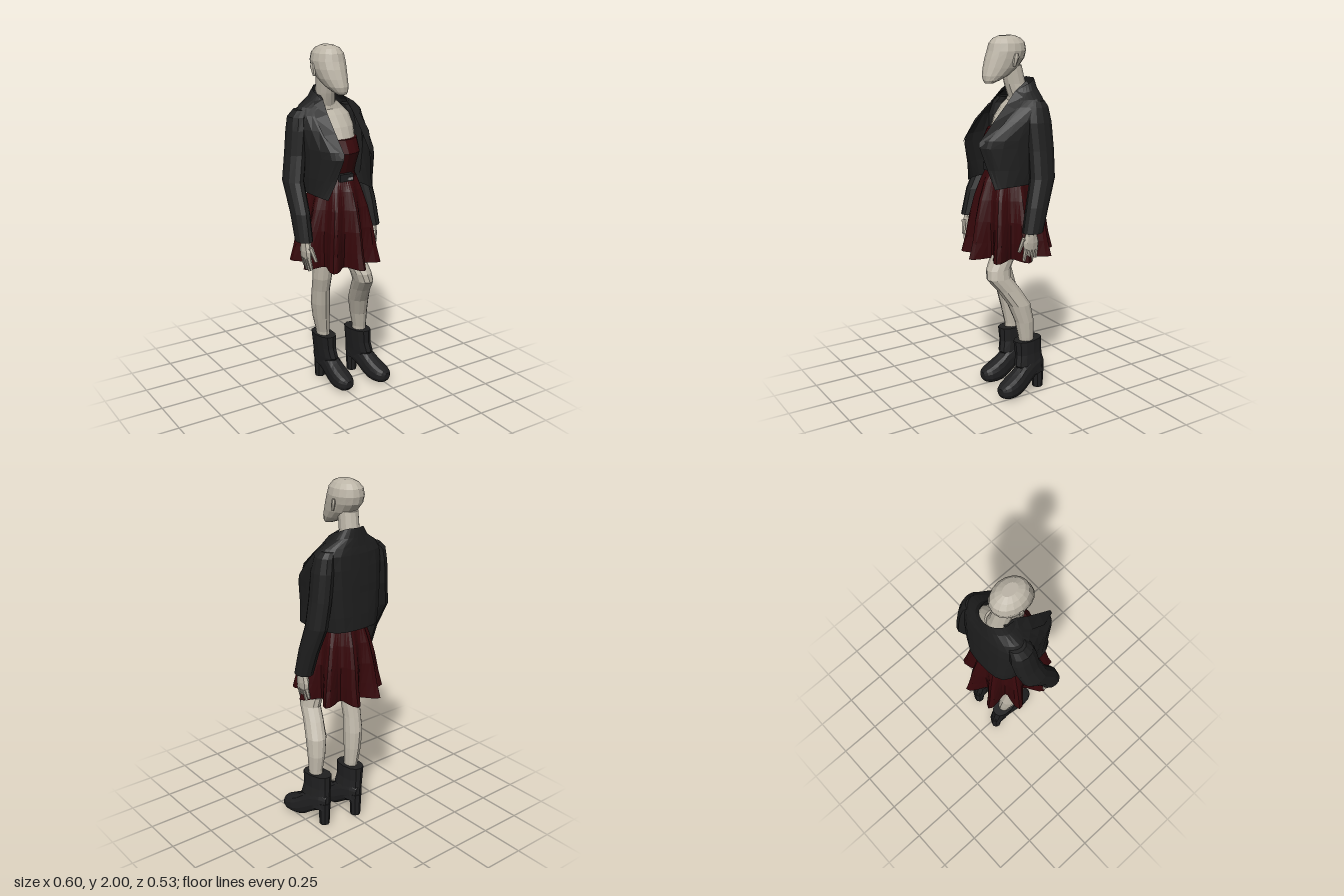
import * as THREE from 'three';

const mat = (name, color, double) => {
  const m = new THREE.MeshStandardMaterial({ color });
  m.name = name;
  if (double) m.side = THREE.DoubleSide;
  return m;
};

export function createModel() {
  const model = new THREE.Group();
  model.name = 'figure';
  const skin = mat('warm grey skin', 0xbcb5a7);
  const red = mat('dark red cloth', 0x36070a, true);
  const black = mat('black jacket cloth', 0x1f1f1f, true);
  const leather = mat('black boot leather', 0x202021);
  const metal = mat('buckle metal', 0x8f8f8f);

  // Flat-shaded mesh with a name
  const add = (name, geo, material, parent = model) => {
    const g = geo.index ? geo.toNonIndexed() : geo;
    g.computeVertexNormals();
    const mesh = new THREE.Mesh(g, material);
    mesh.name = name;
    parent.add(mesh);
    return mesh;
  };

  // Skin a grid of point rows; optional closing around and end caps
  const gridGeo = (rows, closed, caps) => {
    const n = rows[0].length, pos = [], idx = [];
    rows.forEach(r => r.forEach(p => pos.push(...p)));
    for (let i = 0; i < rows.length - 1; i++)
      for (let j = 0; j < (closed ? n : n - 1); j++) {
        const k = (j + 1) % n, a = i * n + j, b = i * n + k;
        idx.push(a, b, b + n, a, b + n, a + n);
      }
    if (caps) [0, rows.length - 1].forEach(i => {
      const c = pos.length / 3, sum = [0, 0, 0];
      rows[i].forEach(p => p.forEach((v, q) => { sum[q] += v / n; }));
      pos.push(...sum);
      for (let j = 0; j < n; j++) {
        const a = i * n + j, b = i * n + (j + 1) % n;
        if (i === 0) idx.push(c, b, a); else idx.push(c, a, b);
      }
    });
    const g = new THREE.BufferGeometry();
    g.setAttribute('position', new THREE.Float32BufferAttribute(pos, 3));
    g.setIndex(idx);
    return g;
  };

  // Loft of ellipses, each [y, centreX, centreZ, radiusX, radiusZ], from low to high
  const loft = (sections, n = 12, power = 1) => gridGeo(sections.map(([y, cx, cz, rx, rz]) =>
    Array.from({ length: n }, (_, j) => {
      const t = (j / n) * Math.PI * 2, s = Math.sin(t), c = Math.cos(t);
      return [cx + rx * Math.sign(s) * Math.abs(s) ** power, y, cz + rz * Math.sign(c) * Math.abs(c) ** power];
    })), true, true);

  // Head, tilted slightly down, with ears and neck
  add('head', loft([
    [1.75, -0.02, 0.1, 0.026, 0.024], [1.765, -0.022, 0.083, 0.043, 0.048],
    [1.79, -0.027, 0.055, 0.06, 0.079], [1.83, -0.032, 0.02, 0.076, 0.104],
    [1.88, -0.035, -0.008, 0.087, 0.117], [1.92, -0.035, -0.02, 0.09, 0.114],
    [1.96, -0.035, -0.022, 0.081, 0.105], [1.985, -0.035, -0.02, 0.06, 0.082],
    [2.0, -0.035, -0.02, 0.03, 0.045]], 16), skin);
  for (const s of [-1, 1]) {
    const ear = add('ear', loft([[-0.035, 0, 0.008, 0.006, 0.008], [0.01, 0, 0, 0.011, 0.02],
      [0.032, 0, -0.004, 0.007, 0.013]], 6), skin);
    ear.position.set(-0.035 + s * 0.088, 1.875, -0.025);
    ear.rotation.y = -s * 0.3;
  }
  add('neck', loft([[1.58, 0, -0.085, 0.08, 0.07], [1.66, -0.01, -0.088, 0.06, 0.06],
    [1.74, -0.022, -0.066, 0.053, 0.062], [1.84, -0.03, -0.045, 0.052, 0.062]], 12), skin);

  // Bare chest above the dress
  add('chest', loft([[1.48, 0, -0.03, 0.13, 0.125], [1.56, 0, -0.05, 0.135, 0.105],
    [1.62, 0, -0.072, 0.125, 0.08], [1.65, 0, -0.085, 0.1, 0.062],
    [1.69, -0.008, -0.085, 0.062, 0.055]], 16), skin);
  add('bodice', loft([[1.22, 0.01, -0.015, 0.125, 0.125], [1.29, 0.005, -0.015, 0.11, 0.11],
    [1.36, 0, -0.005, 0.12, 0.125], [1.43, 0, 0, 0.134, 0.145],
    [1.5, 0, -0.025, 0.135, 0.13]], 16), red);

  // Pleated skirt with nine folds that deepen to the hem: [y, rx, rz, fold depth]
  const skirtRows = [[0.79, 0.208, 0.217, 0.25], [0.88, 0.2, 0.207, 0.19], [1.0, 0.188, 0.2, 0.13],
    [1.12, 0.164, 0.18, 0.09], [1.22, 0.136, 0.15, 0.05], [1.29, 0.115, 0.118, 0]];
  add('skirt', gridGeo(skirtRows.map(([y, rx, rz, fold]) => Array.from({ length: 72 }, (_, j) => {
    const t = (j / 72) * Math.PI * 2;
    const r = 1 + fold * (2 * (0.5 + 0.5 * Math.cos(9 * (t - 0.1))) ** 1.2 - 1);
    return [0.005 + rx * r * Math.sin(t), y, -0.005 + rz * r * Math.cos(t)];
  })), true, false), red);

  // Belt with buckle
  add('belt', loft([[1.27, 0.005, -0.014, 0.117, 0.117], [1.31, 0.005, -0.014, 0.115, 0.115]], 16), red);
  const plate = add('buckle', new THREE.BoxGeometry(0.085, 0.042, 0.04), leather);
  plate.position.set(-0.002, 1.295, 0.108);
  const clasp = add('buckleClasp', new THREE.BoxGeometry(0.032, 0.014, 0.008), metal);
  clasp.position.set(0.018, 1.29, 0.129);

  // Legs
  add('leftLeg', loft([[0.26, 0.18, -0.02, 0.038, 0.042], [0.33, 0.18, -0.015, 0.04, 0.045],
    [0.42, 0.17, -0.01, 0.05, 0.056], [0.52, 0.153, 0.015, 0.058, 0.067], [0.61, 0.13, 0.07, 0.054, 0.07],
    [0.68, 0.112, 0.122, 0.054, 0.074], [0.73, 0.098, 0.118, 0.057, 0.072],
    [0.79, 0.083, 0.08, 0.064, 0.073], [0.86, 0.075, 0.045, 0.068, 0.076],
    [1.05, 0.07, 0.01, 0.075, 0.085]], 12), skin);
  add('rightLeg', loft([[0.26, -0.04, -0.06, 0.036, 0.045], [0.33, -0.045, -0.065, 0.038, 0.047],
    [0.42, -0.058, -0.06, 0.048, 0.056], [0.52, -0.071, -0.048, 0.053, 0.064], [0.61, -0.078, -0.03, 0.05, 0.06],
    [0.69, -0.082, -0.008, 0.054, 0.06], [0.8, -0.077, -0.002, 0.057, 0.068],
    [1.05, -0.07, 0, 0.075, 0.085]], 12), skin);

  // Ankle boots with block heels
  const boot = (name, x, z, turn) => {
    const g = new THREE.Group();
    g.name = name;
    add('shaft', loft([[0.1, 0, -0.05, 0.043, 0.077], [0.17, -0.006, -0.025, 0.047, 0.1],
      [0.23, -0.014, -0.03, 0.048, 0.091], [0.31, -0.02, -0.028, 0.055, 0.092]], 12, 0.85), leather, g);
    // Foot sections run from heel to toe
    const foot = loft([[-0.12, -0.003, -0.15, 0.026, 0.038], [-0.08, -0.003, -0.15, 0.043, 0.06],
      [-0.02, 0, -0.132, 0.046, 0.075], [0.04, 0, -0.098, 0.05, 0.082], [0.08, 0, -0.075, 0.055, 0.072],
      [0.12, 0, -0.062, 0.058, 0.061], [0.165, 0, -0.053, 0.053, 0.047], [0.19, 0, -0.052, 0.04, 0.036],
      [0.202, 0, -0.052, 0.022, 0.02]], 14, 0.8);
    add('foot', foot.rotateX(Math.PI / 2), leather, g);
    const heel = add('heel', new THREE.CylinderGeometry(0.036, 0.03, 0.14, 8), leather, g);
    heel.position.set(0, 0.07, -0.095);
    g.position.set(x, 0, z);
    g.rotation.y = turn;
    model.add(g);
  };
  boot('leftBoot', 0.202, -0.005, 0.22);
  boot('rightBoot', -0.018, -0.037, 0.08);

  // Open jacket; half rows run from front edge to back:
  // [y, edgeY, edge x z, front x z, side x z, backCorner x z, back z]
  const jacketRows = [
    [1.215, 1.195, 0.145, 0.165, 0.172, 0.115, 0.18, -0.03, 0.14, -0.165, -0.195],
    [1.3, 1.3, 0.108, 0.19, 0.155, 0.145, 0.188, -0.03, 0.15, -0.165, -0.195],
    [1.42, 1.42, 0.082, 0.222, 0.135, 0.185, 0.195, -0.03, 0.16, -0.16, -0.19],
    [1.46, 1.46, 0.082, 0.212, 0.138, 0.172, 0.197, -0.03, 0.16, -0.16, -0.19],
    [1.56, 1.56, 0.09, 0.12, 0.148, 0.08, 0.205, -0.05, 0.165, -0.155, -0.185],
    [1.635, 1.625, 0.09, 0.05, 0.15, 0.01, 0.203, -0.075, 0.16, -0.15, -0.18],
    [1.675, 1.655, 0.088, 0.02, 0.135, -0.025, 0.175, -0.085, 0.13, -0.147, -0.173],
    [1.72, 1.675, 0.083, 0.005, 0.1, -0.045, 0.11, -0.095, 0.08, -0.145, -0.167],
    [1.77, 1.69, 0.075, 0, 0.08, -0.05, 0.08, -0.1, 0.05, -0.145, -0.16]];
  add('jacketBody', gridGeo(jacketRows.map(([y, ey, ex, ez, fx, fz, sx, sz, bx, bz, cz]) => {
    const half = [[ex, ey, ez], [fx, (y + ey) / 2, fz], [sx, y - (y - ey) * 0.25, sz], [bx, y, bz]];
    const pts = [...half, [0, y, cz], ...half.map(([a, b, c]) => [-a, b, c]).reverse()];
    return new THREE.CatmullRomCurve3(pts.map(p => new THREE.Vector3(...p))).getPoints(24).map(v => v.toArray());
  }), false, false), black);

  // Folded lapels, mirrored: inner edge then outer edge
  for (const s of [-1, 1]) {
    const inner = [[0.08, 1.45, 0.225], [0.082, 1.55, 0.138], [0.08, 1.64, 0.055], [0.07, 1.71, -0.01], [0.06, 1.76, -0.09]];
    const outer = [[0.09, 1.42, 0.23], [0.145, 1.54, 0.118], [0.143, 1.62, 0.032], [0.118, 1.678, -0.032], [0.092, 1.728, -0.1]];
    add(s > 0 ? 'leftLapel' : 'rightLapel', gridGeo(inner.map((p, i) =>
      [p, outer[i]].map(([x, y, z]) => [s * x, y, z])), false, false), black);
  }

  // Sleeves
  add('leftSleeve', loft([[0.96, 0.25, -0.01, 0.05, 0.06], [1.1, 0.24, -0.045, 0.052, 0.067],
    [1.25, 0.22, -0.09, 0.055, 0.075], [1.4, 0.198, -0.095, 0.054, 0.077], [1.55, 0.178, -0.09, 0.054, 0.078],
    [1.63, 0.162, -0.09, 0.05, 0.066], [1.66, 0.145, -0.095, 0.04, 0.05]], 12), black);
  add('rightSleeve', loft([[0.97, -0.255, 0.09, 0.047, 0.058], [1.12, -0.253, 0.045, 0.05, 0.068],
    [1.28, -0.247, -0.038, 0.054, 0.078], [1.42, -0.215, -0.068, 0.055, 0.076], [1.55, -0.197, -0.08, 0.055, 0.077],
    [1.62, -0.187, -0.085, 0.054, 0.066], [1.655, -0.16, -0.09, 0.045, 0.05]], 12), black);

  // Hands: palm, four fingers and a thumb hanging down
  const hand = (name, x, y, z, s) => {
    const g = new THREE.Group();
    g.name = name;
    add('palm', loft([[-0.1, 0, 0, 0.018, 0.046], [-0.06, 0, 0, 0.024, 0.05],
      [-0.02, 0, 0, 0.025, 0.037], [0.05, 0, -0.005, 0.026, 0.03]], 8), skin, g);
    const digit = (label, px, py, pz, len, tiltX, tiltZ) => {
      const f = add(label, new THREE.CylinderGeometry(0.014, 0.009, len, 6), skin, g);
      f.position.set(px, py, pz);
      f.rotation.set(tiltX, 0, tiltZ);
    };
    [0.075, 0.088, 0.084, 0.065].forEach((len, i) =>
      digit('finger', -s * 0.006, -0.09 - len / 2, 0.035 - i * 0.023, len, (i - 1.5) * 0.05, -s * 0.2));
    digit('thumb', -s * 0.018, -0.075, 0.05, 0.085, -0.2, -s * 0.3);
    g.position.set(x, y, z);
    model.add(g);
  };
  hand('leftHand', 0.25, 0.965, 0, 1);
  hand('rightHand', -0.25, 0.975, 0.1, -1);

  return model;
}
